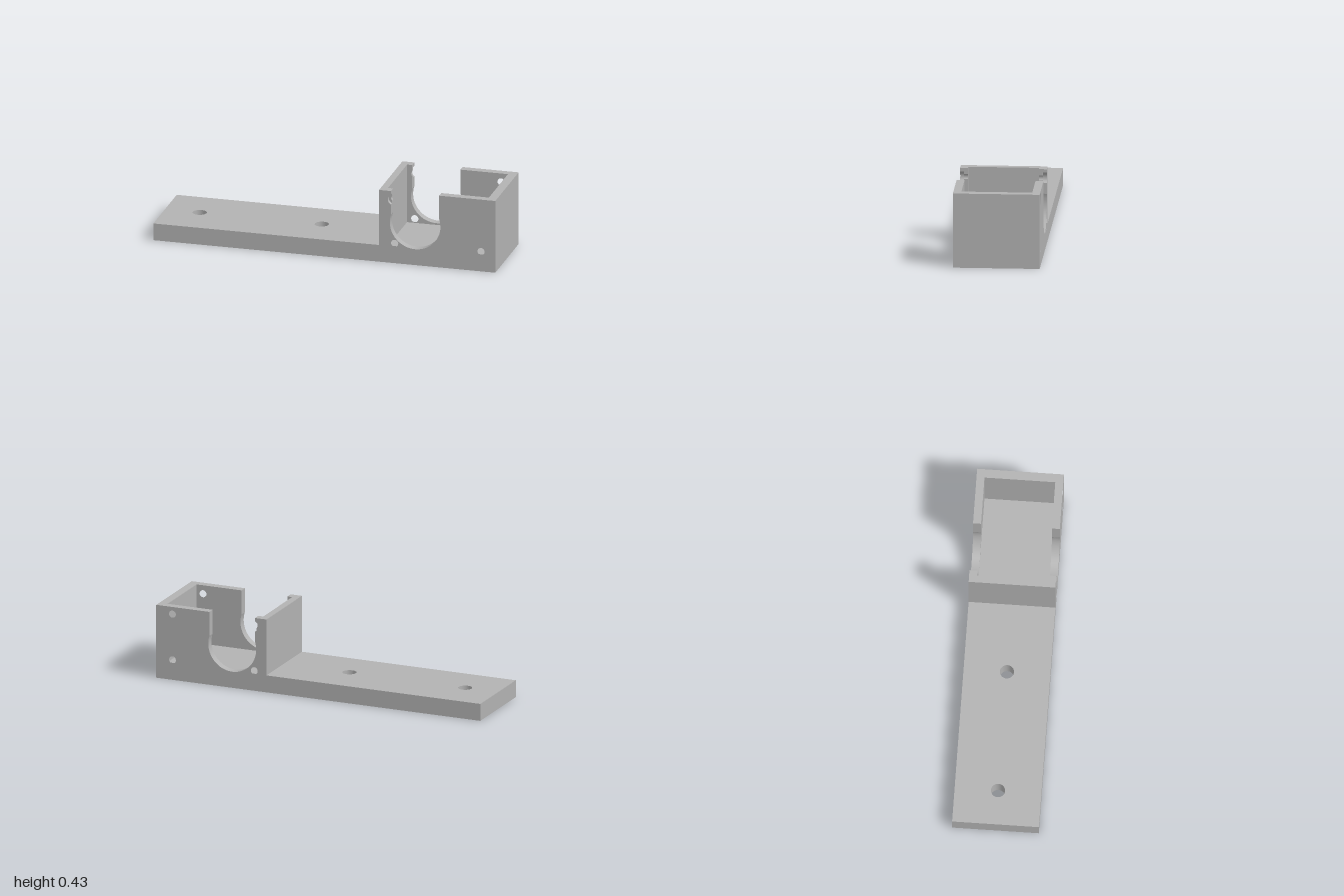
import * as THREE from 'three';

const HALF_DEPTH = 0.245, INNER = 0.2, STEP = 0.222; // z of outer face, pocket side, counterbore floor
const PLATE_TOP = 0.1, TOP = 0.43, FLOOR = 0.085;

function circleHole(x, y, r) {
  const path = new THREE.Path();
  path.absarc(x, y, r, 0, Math.PI * 2, true);
  return path;
}

// Side profile with the keyhole slot; screw holes of radius r
function sideProfile(r) {
  const slot = { x: 0.531, y: 0.243, r: 0.148, half: 0.141 };
  const left = slot.x - slot.half, right = slot.x + slot.half;
  const s = new THREE.Shape();
  s.moveTo(-1, 0);
  s.lineTo(-1, PLATE_TOP);
  s.lineTo(0.32, PLATE_TOP);
  s.lineTo(0.32, TOP);
  s.lineTo(left, TOP);
  // upper screw hole cuts into the slot edge
  const bite = Math.acos((left - 0.405) / r);
  s.absarc(0.405, 0.38, r, bite, Math.PI * 2 - bite, false);
  // round bottom of the slot
  const a = Math.acos(slot.half / slot.r);
  s.absarc(slot.x, slot.y, slot.r, Math.PI - a, Math.PI * 2 + a, false);
  s.lineTo(right, TOP);
  s.lineTo(1, TOP);
  s.lineTo(1, 0);
  s.closePath();
  for (const [x, y] of [[0.405, 0.11], [0.91, 0.11], [0.91, 0.38]]) s.holes.push(circleHole(x, y, r));
  return s;
}

export function createModel() {
  const group = new THREE.Group();
  group.name = 'mountingBracket';
  const grey = new THREE.MeshStandardMaterial({ color: 0xb2b2b2 });
  grey.name = 'grey';

  const add = (name, geometry) => {
    const mesh = new THREE.Mesh(geometry, grey);
    mesh.name = name;
    group.add(mesh);
    return mesh;
  };
  const extrude = (shape, depth) =>
    new THREE.ExtrudeGeometry(shape, { depth, bevelEnabled: false, curveSegments: 40 });
  const box = (name, x0, x1, y0, y1) =>
    add(name, new THREE.BoxGeometry(x1 - x0, y1 - y0, INNER * 2))
      .position.set((x0 + x1) / 2, (y0 + y1) / 2, 0);

  // Side walls: inner layer with small holes, outer layer with counterbores
  for (const [label, r, z0, z1] of [['Inner', 0.021, INNER, STEP], ['Outer', 0.034, STEP, HALF_DEPTH]]) {
    const geometry = extrude(sideProfile(r), z1 - z0);
    add('frontWall' + label, geometry).position.z = z0;
    add('backWall' + label, geometry).position.z = -z1;
  }

  // Mounting plate with two vertical holes
  const plate = new THREE.Shape();
  plate.moveTo(-1, -INNER);
  plate.lineTo(0.32, -INNER);
  plate.lineTo(0.32, INNER);
  plate.lineTo(-1, INNER);
  plate.closePath();
  for (const x of [-0.797, -0.083]) plate.holes.push(circleHole(x, 0, 0.04));
  add('mountingPlate', extrude(plate, PLATE_TOP).rotateX(-Math.PI / 2));

  // Box floor and end walls
  box('boxFloor', 0.36, 0.95, 0, FLOOR);
  box('innerEndWall', 0.32, 0.36, 0, TOP);
  box('outerEndWall', 0.95, 1, 0, TOP);

  return group;
}
